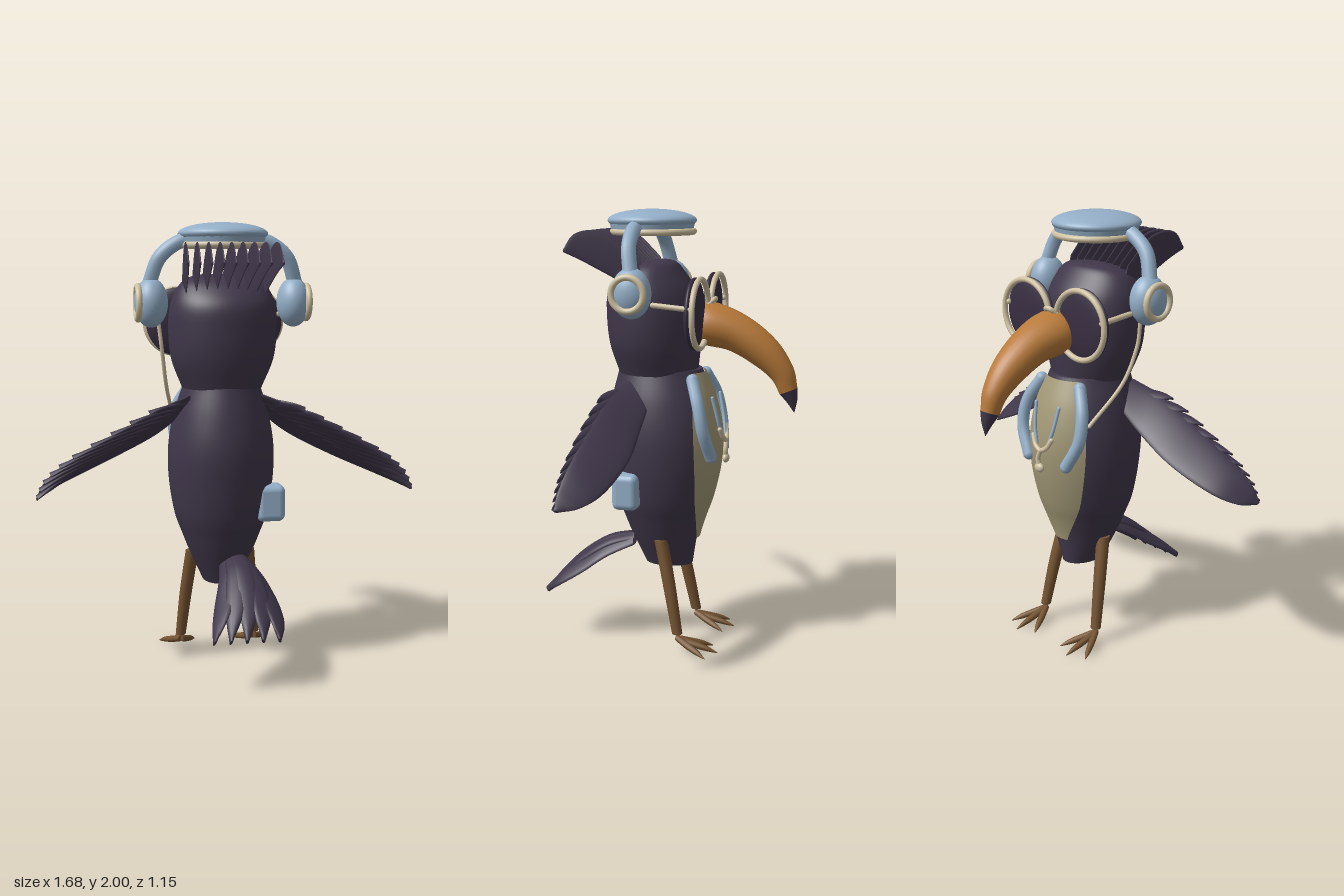
import * as THREE from 'three';
import { RoundedBoxGeometry } from 'three/addons/geometries/RoundedBoxGeometry.js';

const V = (x, y, z) => new THREE.Vector3(x, y, z);
const mat = (name, color, side = THREE.FrontSide) => {
  const m = new THREE.MeshStandardMaterial({ color, side });
  m.name = name;
  return m;
};
const spline = (pts) => new THREE.CatmullRomCurve3(pts, false, 'catmullrom', 0.5);

// Smooth solid through elliptical rings [centre, half axis a, half axis b]
function loft(rings, n = 24, m = 24) {
  const [C, A, B] = [0, 1, 2].map((k) => spline(rings.map((r) => r[k])));
  const dir = rings[rings.length - 1][0].clone().sub(rings[0][0]);
  const mid = rings[Math.floor(rings.length / 2)];
  const flip = mid[1].clone().cross(mid[2]).dot(dir) < 0 ? -1 : 1;
  const pos = [], idx = [];
  const ring = (u) => {
    const c = C.getPoint(u), a = A.getPoint(u), b = B.getPoint(u);
    for (let j = 0; j < m; j++) {
      const t = (j / m) * Math.PI * 2;
      const p = c.clone().addScaledVector(a, Math.cos(t)).addScaledVector(b, flip * Math.sin(t));
      pos.push(p.x, p.y, p.z);
    }
    return c;
  };
  for (let i = 0; i <= n; i++) ring(i / n);
  for (let i = 0; i < n; i++) for (let j = 0; j < m; j++) {
    const k = (j + 1) % m, o = i * m, q = o + m;
    idx.push(o + j, o + k, q + j, o + k, q + k, q + j);
  }
  // flat end caps
  for (const u of [0, 1]) {
    const s = pos.length / 3, c = ring(u);
    pos.push(c.x, c.y, c.z);
    for (let j = 0; j < m; j++) {
      const k = (j + 1) % m;
      if (u) idx.push(s + m, s + j, s + k);
      else idx.push(s + m, s + k, s + j);
    }
  }
  const g = new THREE.BufferGeometry();
  g.setAttribute('position', new THREE.Float32BufferAttribute(pos, 3));
  g.setIndex(idx);
  g.computeVertexNormals();
  return g;
}

// Upright rings from rows of [y, half width, centre z, half depth]
const upright = (rows) => rows.map(([y, rx, cz, rz]) => [V(0, y, cz), V(rx, 0, 0), V(0, 0, rz)]);

export function createModel() {
  const model = new THREE.Group();
  const plumage = mat('plumage', 0x40374a);
  const lensDark = mat('dark lens', 0x382e41);
  const blue = mat('soft blue', 0x94afc8);
  const cream = mat('cream', 0xcfc1a2);
  const bellyTan = mat('belly tan', 0xa39977, THREE.DoubleSide);
  const orange = mat('beak orange', 0xb87a3a);
  const brown = mat('leg brown', 0x745331);

  const add = (name, geo, material, p = [0, 0, 0], s = [1, 1, 1]) => {
    const mesh = new THREE.Mesh(geo, material);
    mesh.name = name;
    mesh.position.set(...p);
    mesh.scale.set(...s);
    model.add(mesh);
  };
  const ball = (name, material, p, s) => add(name, new THREE.SphereGeometry(1, 32, 20), material, p, s);
  // Round cord with rounded ends
  const cord = (name, pts, r, material) => {
    const v = pts.map((p) => V(...p));
    add(name, new THREE.TubeGeometry(spline(v), 24, r, 10), material);
    for (const e of [pts[0], pts[pts.length - 1]]) {
      add(name + 'End', new THREE.SphereGeometry(r, 10, 8), material, e);
    }
  };

  // Body and head
  const bodyRings = upright([
    [0.37, 0.08, 0.02, 0.11], [0.5, 0.14, 0.04, 0.15], [0.6, 0.18, 0.045, 0.185],
    [0.7, 0.215, 0.045, 0.22], [0.85, 0.238, 0.042, 0.25], [1.0, 0.24, 0.045, 0.26],
    [1.15, 0.215, 0.05, 0.235], [1.29, 0.17, 0.06, 0.19],
  ]);
  add('body', loft(bodyRings, 40, 40), plumage);
  add('head', loft(upright([
    [1.27, 0.18, 0.07, 0.18], [1.4, 0.23, 0.085, 0.205], [1.53, 0.243, 0.09, 0.213],
    [1.64, 0.235, 0.1, 0.195], [1.72, 0.2, 0.095, 0.138], [1.76, 0.15, 0.08, 0.09], [1.775, 0.08, 0.065, 0.045],
  ]), 36, 40), plumage);

  // Belly patch: a strip of the body surface, slightly raised
  const [bc, ba, bb] = [0, 1, 2].map((k) => spline(bodyRings.map((r) => r[k])));
  const spread = spline([0.26, 0.5, 0.68, 0.79, 0.83, 0.78, 0.62].map((a, i) => V(a, i, 0)));
  const patch = new THREE.PlaneGeometry(1, 1, 20, 30);
  const pp = patch.attributes.position;
  for (let i = 0; i < pp.count; i++) {
    const v = pp.getY(i) + 0.5, u = 0.145 + v * 0.845;
    const t = pp.getX(i) * 2 * spread.getPoint(v).x;
    const c = bc.getPoint(u), rx = ba.getPoint(u).x + 0.01, rz = bb.getPoint(u).z + 0.014;
    pp.setXYZ(i, -rx * Math.sin(t), c.y, c.z - rz * Math.cos(t));
  }
  patch.computeVertexNormals();
  add('bellyPatch', patch, bellyTan);

  // Curved beak with dark tip: [y, z, half width, half height, slope angle]
  const beakRing = ([y, z, w, h, ang]) => [V(0, y, z), V(w, 0, 0), V(0, h * Math.cos(ang), -h * Math.sin(ang))];
  add('beak', loft([
    [1.5, -0.08, 0.1, 0.08, 0], [1.495, -0.17, 0.122, 0.098, 0.15], [1.455, -0.3, 0.1, 0.086, 0.45],
    [1.375, -0.42, 0.078, 0.074, 0.75], [1.285, -0.5, 0.056, 0.055, 1.05], [1.205, -0.53, 0.04, 0.042, 1.2],
  ].map(beakRing), 30, 28), orange);
  add('beakTip', loft([
    [1.207, -0.53, 0.041, 0.043, 1.2], [1.16, -0.547, 0.022, 0.024, 1.3], [1.11, -0.557, 0.001, 0.001, 1.4],
  ].map(beakRing), 10, 20), plumage);

  // Crest: thin upright blades sweeping back
  for (let k = -4; k <= 4; k++) {
    const rows = [[1.72, 0.1, 0.06], [1.78, 0.2, 0.1], [1.82, 0.3, 0.09], [1.835, 0.39, 0.055], [1.818, 0.45, 0.006]];
    add('crestFeather', loft(rows.map(([y, z, h], i) => [
      V(k * (0.044 + i * 0.0015), y, z), V(0.0045, 0, 0), V(k * 0.02 * h, h, 0.25 * h),
    ]), 16, 12), plumage);
  }

  // Tail: arched fan of leaf-shaped feathers
  for (let k = -2; k <= 2; k++) {
    const rows = [
      [0.05 + 0.02 * k, 0.51, 0.16, 0.035, 0.003], [0.06 + 0.035 * k, 0.485, 0.28, 0.038, 0.01],
      [0.06 + 0.05 * k, 0.42, 0.39, 0.043, 0.012], [0.05 + 0.06 * k, 0.33, 0.49, 0.038, 0.006], [0.03 + 0.07 * k, 0.235, 0.57, 0.007, 0],
    ];
    add('tailFeather', loft(rows.map(([x, y, z, w, drop]) => [
      V(x, y - drop * k * k, z), V(w, -0.35 * k * w, 0), V(0, 0.011, 0.008),
    ]), 18, 12), plumage);
  }

  // Flat cap with rim
  ball('cap', blue, [0, 1.95, 0.1], [0.2, 0.05, 0.2]);
  add('capBase', new THREE.CylinderGeometry(0.193, 0.183, 0.045, 48), blue, [0, 1.926, 0.1]);
  add('capRim', new THREE.TorusGeometry(0.18, 0.015, 12, 48).rotateX(Math.PI / 2), cream, [0, 1.901, 0.095]);

  for (const s of [-1, 1]) {
    // Headphones
    cord('headphoneBand', [[s * 0.13, 1.935, 0.125], [s * 0.215, 1.905, 0.125], [s * 0.288, 1.84, 0.12], [s * 0.328, 1.73, 0.1]], 0.033, blue);
    ball('earCup', blue, [s * 0.32, 1.65, 0.1], [0.075, 0.11, 0.088]);
    add('earCupRing', new THREE.TorusGeometry(0.072, 0.015, 12, 36).rotateY(Math.PI / 2), cream, [s * 0.378, 1.65, 0.1]);

    // Glasses
    ball('lens', lensDark, [s * 0.17, 1.555, -0.14], [0.15, 0.158, 0.03]);
    add('lensRim', new THREE.TorusGeometry(0.15, 0.013, 12, 48), cream, [s * 0.17, 1.555, -0.166]);
    cord('glassesArm', [[s * 0.3, 1.585, -0.16], [s * 0.3, 1.592, -0.08], [s * 0.3, 1.6, 0.01]], 0.012, cream);

    // Straps over the chest and thin leads
    cord('chestStrap', [[s * 0.125, 1.255, -0.12], [s * 0.18, 1.15, -0.16], [s * 0.185, 1.03, -0.185], [s * 0.125, 0.91, -0.205]], 0.028, blue);
    cord('lead', [[s * 0.075, 1.17, -0.2], [s * 0.06, 1.07, -0.222], [s * 0.035, 0.99, -0.235]], 0.008, blue);
    cord('leadFork', [[s * 0.06, 1.025, -0.232], [s * 0.035, 0.985, -0.242], [0, 0.965, -0.247]], 0.011, cream);

    // Wing: smooth sheet, its leading edge low and its trailing edge high
    const lead = [[0.16, 1.17, 0.06], [0.3, 1.06, 0.065], [0.5, 0.955, 0.06], [0.7, 0.868, 0.1], [0.8, 0.825, 0.17], [0.835, 0.812, 0.25]];
    const trail = [[0.16, 1.255, 0.2], [0.3, 1.205, 0.24], [0.5, 1.1, 0.262], [0.7, 0.985, 0.27], [0.8, 0.9, 0.272], [0.84, 0.82, 0.272]];
    const L = lead.map(([x, y, z]) => V(s * x, y, z)), T = trail.map(([x, y, z]) => V(s * x, y, z));
    const up = V(s * 0.38, 0.76, -0.53).normalize();
    add('wing', loft(L.map((l, i) => {
      const back = l.clone().lerp(T[i], 0.9);
      return [
        l.clone().add(back).multiplyScalar(0.5), l.clone().sub(back).multiplyScalar(0.5),
        up.clone().multiplyScalar(i > 3 ? 0.006 : 0.016),
      ];
    }), 30, 24), plumage);
    // Overlapping flight feathers along its back
    const Lc = spline(L), Tc = spline(T), n = 10;
    for (let i = 0; i < n; i++) {
      const f = i / (n - 1), u = 0.02 + 0.5 * f;
      const root = Lc.getPoint(u).lerp(Tc.getPoint(u), 0.6 - 0.2 * f).addScaledVector(up, -0.006);
      const tip = Tc.getPoint(0.25 + 0.73 * f).addScaledVector(up, -0.002);
      const side = tip.clone().sub(root).cross(up).normalize();
      const rows = [[0, 0.012], [0.35, 0.026], [0.75, 0.024], [1, 0.004]];
      add('flightFeather', loft(rows.map(([t, w]) => [
        root.clone().lerp(tip, t), side.clone().multiplyScalar(w).addScaledVector(up, 0.006),
        up.clone().multiplyScalar(0.011),
      ]), 10, 10), plumage);
    }

    // Leg and three toes
    const ring = ([x, y, z, r]) => [V(s * x, y, z), V(r, 0, 0), V(0, 0, r)];
    add('leg', loft([[0.13, 0.51, 0.025, 0.031], [0.155, 0.3, -0.022, 0.029], [0.175, 0.08, -0.065, 0.024]].map(ring), 12, 16), brown);
    for (const [dx, dz] of [[-0.085, -0.15], [0, -0.19], [0.085, -0.15]]) {
      const a = V(-dz, 0, dx).normalize();
      const rows = [[0, 0.058, 0.015], [0.4, 0.037, 0.016], [0.75, 0.021, 0.012], [1, 0.006, 0.002]];
      add('toe', loft(rows.map(([t, y, r]) => [
        V(s * 0.175 + dx * t, y, -0.065 + dz * t), a.clone().multiplyScalar(r), V(0, r, 0),
      ]), 10, 12), brown);
    }
  }

  // Glasses bridge, headphone cable, pendant and hip pouch
  cord('glassesBridge', [[-0.03, 1.585, -0.17], [-0.015, 1.605, -0.19], [0.015, 1.605, -0.19], [0.03, 1.585, -0.17]], 0.011, cream);
  cord('cable', [[-0.285, 1.55, 0.09], [-0.27, 1.43, 0.085], [-0.245, 1.27, 0.02], [-0.195, 1.1, -0.13]], 0.009, cream);
  cord('pendantStem', [[0, 0.965, -0.247], [0.014, 0.925, -0.248], [0.005, 0.89, -0.247]], 0.011, cream);
  ball('pendant', cream, [0.005, 0.885, -0.248], [0.027, 0.022, 0.016]);
  add('hipPouch', new RoundedBoxGeometry(0.13, 0.165, 0.12, 4, 0.03), blue, [0.205, 0.752, 0.16]);

  return model;
}
